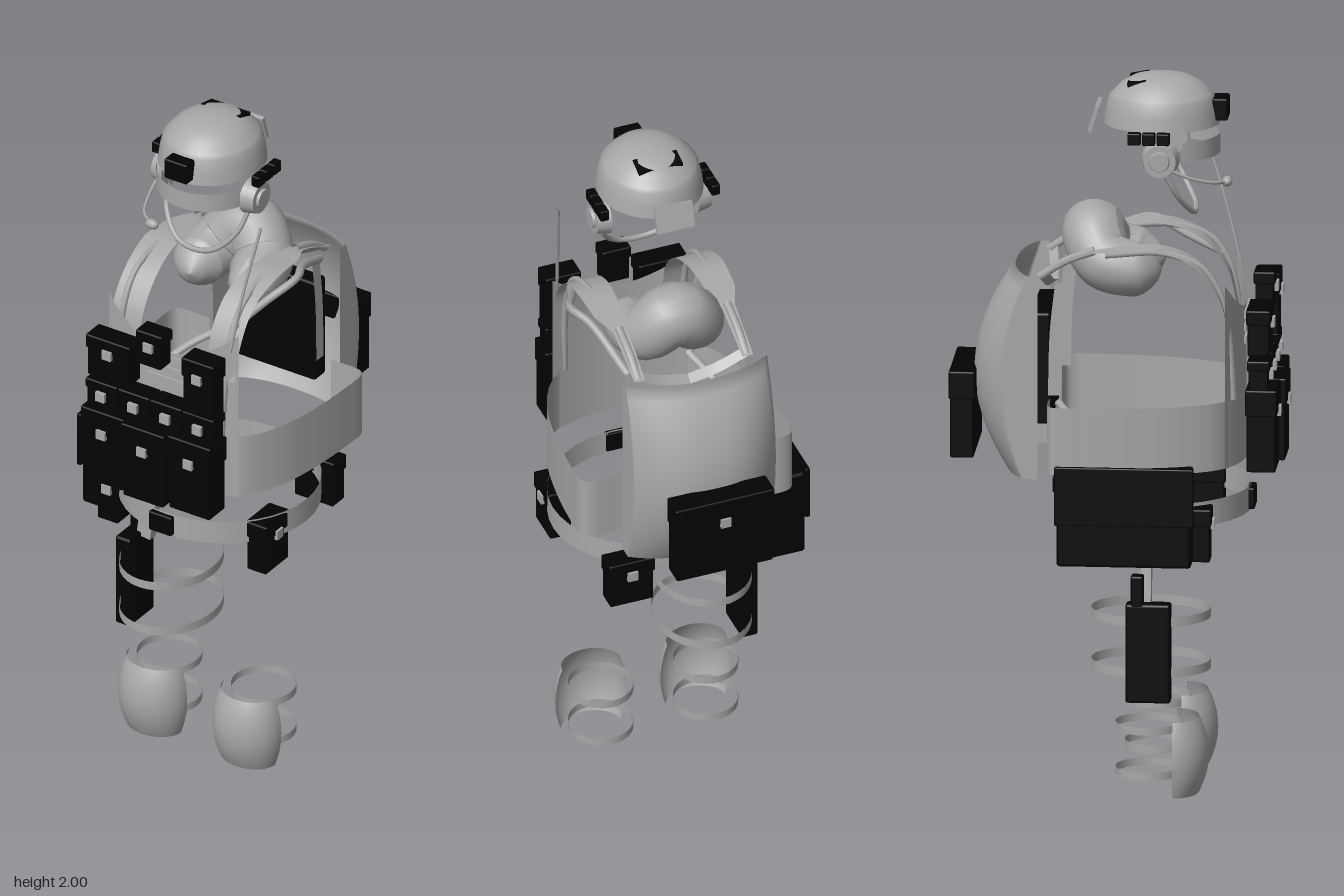
import * as THREE from 'three';
import { RoundedBoxGeometry } from 'three/addons/geometries/RoundedBoxGeometry.js';
import { ParametricGeometry } from 'three/addons/geometries/ParametricGeometry.js';

const CX = 0.025; // middle of the body
const grey = new THREE.MeshStandardMaterial({ color: 0xa8a8a8, side: THREE.DoubleSide });
grey.name = 'grey cloth';
const black = new THREE.MeshStandardMaterial({ color: 0x030303, side: THREE.DoubleSide });
black.name = 'black gear';
const V = (x, y, z) => new THREE.Vector3(x, y, z);
const lerp = THREE.MathUtils.lerp;

export function createModel() {
  const root = new THREE.Group();
  const add = (name, geo, mat = grey, x = 0, y = 0, z = 0, parent = root) => {
    const m = new THREE.Mesh(geo, mat);
    m.name = name;
    m.position.set(x, y, z);
    parent.add(m);
    return m;
  };
  // box given by its limits
  const box = (name, mat, x0, x1, y0, y1, z0, z1, r = 0, parent = root) => {
    const [w, h, d] = [x1 - x0, y1 - y0, z1 - z0];
    const g = r ? new RoundedBoxGeometry(w, h, d, 2, r) : new THREE.BoxGeometry(w, h, d);
    return add(name, g, mat, (x0 + x1) / 2, (y0 + y1) / 2, (z0 + z1) / 2, parent);
  };
  const surface = (name, fn, nu, nv) =>
    add(name, new ParametricGeometry((u, v, t) => t.copy(fn(u, v)), nu, nv));
  // upright open elliptical strap
  const band = (name, x, z, rx, rz, y0, y1, start = 0, len = Math.PI * 2) => {
    const g = new THREE.CylinderGeometry(1, 1, y1 - y0, 40, 1, true, start, len);
    return add(name, g.scale(rx, 1, rz), grey, x, (y0 + y1) / 2, z);
  };
  // flat strap along a curve, points are [x, y, z, halfWidth], widened along an axis
  const ribbon = (name, pts, axis = V(1, 0, 0)) => {
    const c = new THREE.CatmullRomCurve3(pts.map(p => V(p[0], p[1], p[2])));
    return surface(name, (u, v) => {
      const k = u * (pts.length - 1), i = Math.min(Math.floor(k), pts.length - 2);
      return c.getPoint(u).addScaledVector(axis, (v * 2 - 1) * lerp(pts[i][3], pts[i + 1][3], k - i));
    }, 48, 1);
  };
  const tube = (name, pts, r) =>
    add(name, new THREE.TubeGeometry(new THREE.CatmullRomCurve3(pts), 24, r, 6));
  // pouch with lid and buckle; face is 'z', '-z' or 'x'
  const pouch = (name, x0, x1, y0, y1, z0, z1, face = 'z') => {
    const g = new THREE.Group();
    g.name = name;
    root.add(g);
    const e = 0.004, lid = y1 - (y1 - y0) * 0.32, by = y1 - Math.max(0.045, (y1 - y0) * 0.3);
    box('pouchBody', black, x0 + e, x1 - e, y0, y1 - e, z0 + e, z1 - e, 0.005, g);
    box('pouchLid', black, x0, x1, lid, y1, z0, z1, 0.005, g);
    if (face === 'x') add('buckle', new THREE.BoxGeometry(0.014, 0.028, 0.03), grey, x1, by, (z0 + z1) / 2, g);
    else add('buckle', new THREE.BoxGeometry(0.03, 0.028, 0.014), grey, (x0 + x1) / 2, by, face === 'z' ? z1 : z0, g);
  };

  // helmet
  const prof = [[0.148, 1.862], [0.143, 1.9], [0.135, 1.937], [0.126, 1.945], [0.105, 1.97], [0.075, 1.988], [0.04, 1.997], [0, 2]];
  add('helmet', new THREE.LatheGeometry(prof.map(p => new THREE.Vector2(...p)), 40).scale(1, 1, 1.08), grey, CX + 0.002, 0, 0.113);
  box('frontMount', black, -0.012, 0.062, 1.875, 1.937, 0.255, 0.298, 0.005);
  box('topPatch', black, -0.037, 0.092, 1.976, 1.986, 0.022, 0.075).rotation.x = -0.2;
  box('helmetBackPlate', grey, -0.03, 0.08, 1.84, 1.915, -0.078, -0.066).rotation.x = 0.3;
  for (const s of [-1, 1])
    for (const z of [0.05, 0.09, 0.13])
      add('sideRail', new RoundedBoxGeometry(0.025, 0.034, 0.036, 2, 0.004), black, CX + s * 0.164, 1.851, z);
  band('visor', CX, 0.12, 0.148, 0.155, 1.78, 1.835, -1.17, 2.34);

  // headset with boom microphone and chin strap
  for (const s of [-1, 1]) {
    const cup = add('earCup', new THREE.CylinderGeometry(0.045, 0.053, 0.04, 24), grey, CX + s * 0.148, 1.787, 0.12);
    cup.rotation.z = -s * Math.PI / 2;
    const cap = add('earCupCap', new THREE.CylinderGeometry(0.026, 0.03, 0.012, 20), grey, CX + s * 0.17, 1.787, 0.12);
    cap.rotation.z = -s * Math.PI / 2;
  }
  tube('microphoneBoom', [V(-0.13, 1.76, 0.15), V(-0.12, 1.735, 0.21), V(-0.095, 1.72, 0.27), V(-0.05, 1.714, 0.3)], 0.005);
  const mic = add('microphone', new THREE.SphereGeometry(0.016, 12, 8), grey, -0.05, 1.714, 0.3);
  mic.scale.set(1.3, 0.9, 0.9);
  tube('chinStrap', [V(-0.11, 1.75, 0.13), V(-0.09, 1.68, 0.165), V(-0.035, 1.625, 0.2), V(CX, 1.612, 0.207),
    V(0.085, 1.625, 0.2), V(0.14, 1.68, 0.165), V(0.16, 1.75, 0.13)], 0.008);

  // thick scarf round the back of the neck, tapering to its ends
  const neck = new THREE.CatmullRomCurve3([V(-0.045, 1.46, 0.12), V(-0.062, 1.462, 0.04), V(-0.045, 1.485, -0.04),
    V(CX, 1.55, -0.075), V(0.095, 1.485, -0.04), V(0.112, 1.462, 0.04), V(0.095, 1.46, 0.12)]);
  const scarf = new THREE.TubeGeometry(neck, 40, 1, 20), sp = scarf.attributes.position, v = V(0, 0, 0);
  for (let i = 0; i < sp.count; i++) {
    const u = Math.floor(i / 21) / 40, c = neck.getPointAt(u);
    const r = (0.066 + 0.022 * Math.sin(Math.PI * u)) * Math.min(1, Math.sqrt(Math.min(u, 1 - u) / 0.12));
    v.fromBufferAttribute(sp, i).sub(c).multiplyScalar(r).add(c);
    sp.setXYZ(i, v.x, v.y, v.z);
  }
  scarf.computeVertexNormals();
  add('scarf', scarf);

  // vest: curved front panel, waist wrap and shoulder straps
  surface('vestFront', (u, t) => {
    const x = (u * 2 - 1) * 0.213;
    return V(CX + x, 0.93 + 0.42 * t + 0.1 * t * (x / 0.213) ** 2, 0.345 - 0.04 * (x / 0.213) ** 2);
  }, 16, 4);
  // the wrap runs round the front and flares to its rear corners, open behind the back
  const half = [[0.2, -0.18], [0.29, -0.18], [0.311, -0.165], [0.314, -0.08], [0.303, 0.06], [0.275, 0.19], [0.215, 0.295], [0.12, 0.342]];
  const wrap = [...half.map(p => [-p[0], p[1]]), [0, 0.354], ...half.slice().reverse()];
  ribbon('waistWrap', wrap.map(p => [CX + p[0], 1.025, p[1], 0.095]), V(0, 1, 0));
  for (let i = 0; i < 3; i++) box('chestWebbing', grey, -0.035, 0.125, 1.25 + i * 0.035, 1.27 + i * 0.035, 0.345, 0.352);
  for (const s of [-1, 1]) {
    const X = d => CX + s * d;
    ribbon('shoulderStrap', [[X(0.16), 1.3, 0.315, 0.045], [X(0.16), 1.42, 0.285, 0.05], [X(0.16), 1.5, 0.22, 0.05],
      [X(0.165), 1.54, 0.12, 0.05], [X(0.165), 1.535, 0, 0.042], [X(0.16), 1.525, -0.07, 0.02], [X(0.16), 1.46, -0.22, 0.016]]);
    // pack straps in front of and behind the arm
    tube('packStrapFront', [V(X(0.17), 1.12, 0.325), V(X(0.175), 1.3, 0.312), V(X(0.175), 1.42, 0.287), V(X(0.175), 1.495, 0.235),
      V(X(0.17), 1.53, 0.13), V(X(0.165), 1.52, -0.03)], 0.01);
    tube('packStrapTop', [V(X(0.16), 1.53, -0.06), V(X(0.16), 1.5, -0.14), V(X(0.16), 1.455, -0.21)], 0.012);
    ribbon('packStrapBack', [[X(0.17), 1.44, -0.15, 0.018], [X(0.17), 1.3, -0.165, 0.018], [X(0.17), 1.12, -0.17, 0.018]], V(0, 0, 1));
    ribbon('backCrossStrap', [[X(0.16), 1.46, -0.2, 0.015], [X(0.08), 1.42, -0.19, 0.015], [CX, 1.4, -0.185, 0.015]], V(0, 0.6, 0.8));
  }
  tube('leftArmStrap', [V(0.2, 1.45, 0.27), V(0.235, 1.49, 0.17), V(0.275, 1.53, 0.07), V(0.245, 1.52, 0), V(0.2, 1.45, -0.16)], 0.012);
  tube('rightBackStrap', [V(-0.14, 1.1, -0.16), V(-0.2, 1.06, -0.11), V(-0.262, 1.0, -0.04)], 0.012);
  tube('rightFrontStrap', [V(-0.235, 1.0, 0.12), V(-0.2, 1.06, 0.2), V(-0.16, 1.1, 0.3)], 0.012);

  // front pouches
  for (let i = 0; i < 3; i++) {
    const x = -0.19 + i * 0.143, f = i === 1 ? 0.015 : 0;
    pouch('magazinePouch', x, x + 0.141, 0.922, 1.155, 0.36 + f, 0.448 + f);
  }
  for (let i = 0; i < 4; i++) {
    const x = -0.187 + i * 0.106;
    pouch('smallPouch', x, x + 0.104, 1.145, 1.237, 0.365, 0.428);
  }
  pouch('chestPouch', -0.185, -0.04, 1.25, 1.38, 0.362, 0.43);
  pouch('radioPouch', 0.13, 0.235, 1.225, 1.41, 0.362, 0.43);
  pouch('centrePouch', -0.02, 0.065, 1.34, 1.45, 0.37, 0.43);
  tube('antenna', [V(0.22, 1.4, 0.32), V(0.235, 1.58, 0.275), V(0.255, 1.76, 0.22)], 0.005);

  // pack: bulged shell with straight sides, back panel and rear pouch
  const packRow = (u, y) => {
    const k = Math.max(0, 1 - ((y - 1.16) / 0.3) ** 2);
    const side = 0.028 + 0.067 * k, mid = 0.075 + 0.115 * k;
    if (u < 0.15) return V(CX - 0.208, y, -0.213 - side * u / 0.15);
    if (u > 0.85) return V(CX + 0.208, y, -0.213 - side * (1 - u) / 0.15);
    const t = Math.abs(u - 0.5) / 0.35;
    return V(CX + 0.208 * (u - 0.5) / 0.35, y, -0.213 - lerp(mid, side, t ** 2.5));
  };
  surface('packShell', (u, t) => packRow(u, lerp(0.89, 1.465, t)), 40, 16);
  box('backPanel', black, -0.115, 0.17, 1.03, 1.345, -0.238, -0.183, 0.008);
  pouch('rearPouch', -0.12, 0.172, 0.93, 1.175, -0.465, -0.392, '-z');

  // belt with pouches
  band('belt', CX + 0.01, 0.09, 0.285, 0.27, 0.77, 0.84);
  box('beltBuckle', black, -0.015, 0.06, 0.775, 0.835, 0.352, 0.373, 0.005);
  pouch('leftBeltPouch', 0.237, 0.308, 0.68, 0.835, 0.15, 0.272, 'x');
  pouch('rearBeltPouch', 0.13, 0.265, 0.678, 0.82, -0.198, -0.13, '-z');
  pouch('rightBeltPouch', -0.255, -0.18, 0.68, 0.83, 0.15, 0.272);
  box('hipBag', black, -0.333, -0.225, 0.68, 0.95, -0.15, 0.222, 0.01);
  box('hipBagFlap', black, -0.345, -0.33, 0.8, 0.965, -0.155, 0.23, 0.004);
  box('hipBagHanger', grey, -0.226, -0.18, 0.78, 0.82, 0.07, 0.1);

  // thigh holster, hanger and straps
  box('holsterHanger', grey, -0.215, -0.17, 0.545, 0.775, 0.075, 0.103).rotation.z = -0.14;
  box('holster', black, -0.265, -0.215, 0.28, 0.56, 0.035, 0.16, 0.008);
  box('holsterGrip', black, -0.265, -0.225, 0.55, 0.64, 0.05, 0.085, 0.006);
  for (const y of [0.495, 0.35]) band('thighStrap', -0.12, 0.095, 0.135, 0.165, y, y + 0.026);

  // knee pads with straps
  for (const x of [-0.13, 0.18]) {
    surface('kneePad', (u, t) => {
      const a = (u * 2 - 1) * Math.PI / 2, b = 1 - (t * 2 - 1) ** 2;
      return V(x + (0.085 + 0.02 * b) * Math.sin(a), t * 0.215, 0.162 + (0.066 + 0.028 * b) * Math.cos(a));
    }, 24, 10);
    for (const y of [0.05, 0.178]) band('kneeStrap', x, 0.09, 0.09, 0.092, y, y + 0.022);
  }
  return root;
}
